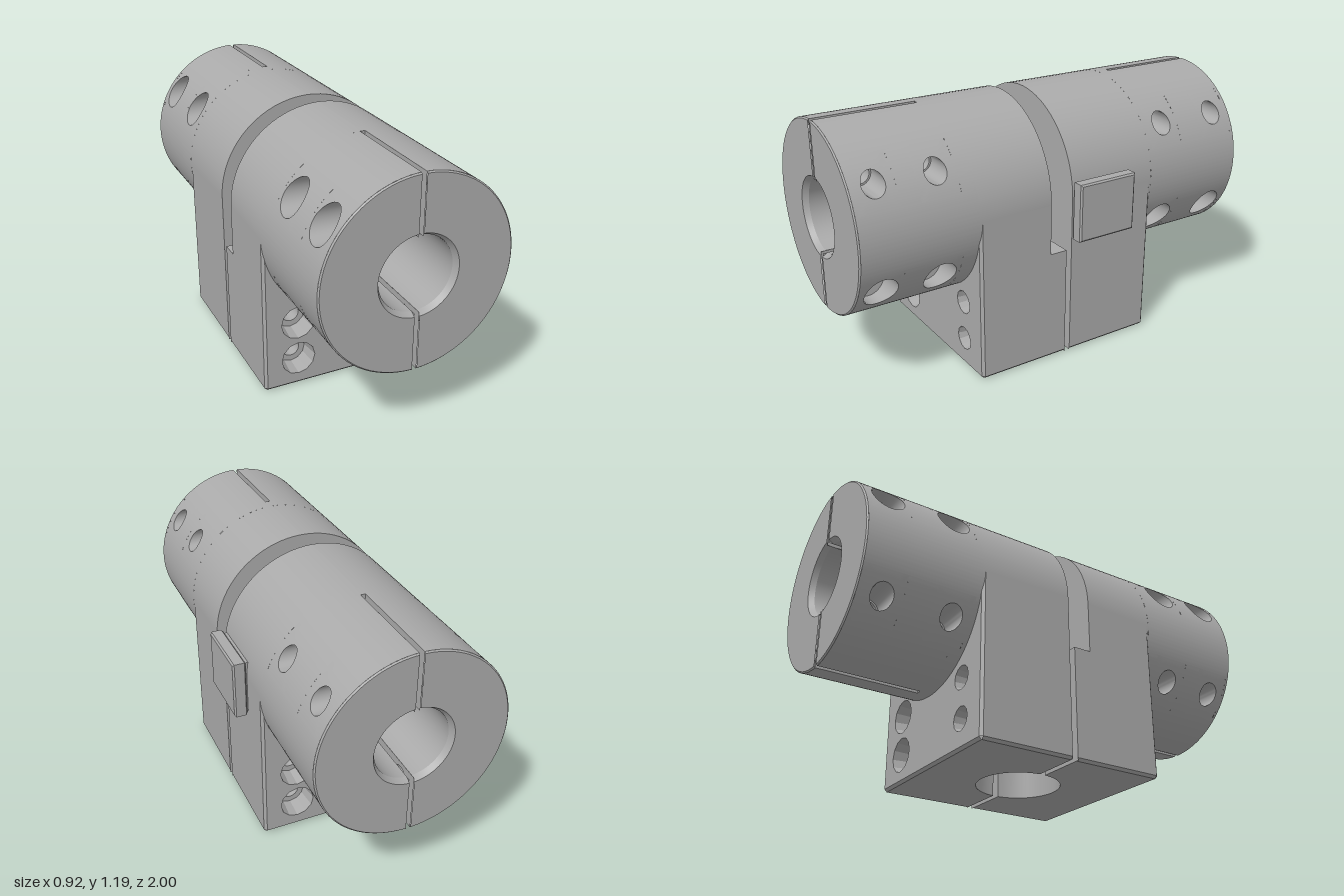
import * as THREE from 'three';
import { mergeGeometries, toCreasedNormals } from 'three/addons/utils/BufferGeometryUtils.js';

const R = 0.428, CY = 0.762, CX = -0.035; // barrel radius and axis
const BORE = 0.165, GAP = 0.011, SLIT = 0.52, HOLES = 0.46; // bore, slit half width, slit start, drilled zone start
const BLOCK = 0.46, C = 0.012, POST = 0.19, POST_TOP = 0.33; // block depth, chamfer, upright bore
const PI = Math.PI;

const metal = new THREE.MeshStandardMaterial({ color: 0xaaaaaa, side: THREE.DoubleSide });
metal.name = 'machined grey';

// A grid whose vertices are placed by fn(u, v) -> [x, y, z]
function surf(fn, nu = 1, nv = 1) {
  const g = new THREE.PlaneGeometry(1, 1, nu, nv), p = g.attributes.position;
  for (let i = 0; i < p.count; i++) p.setXYZ(i, ...fn(p.getX(i) + 0.5, p.getY(i) + 0.5));
  return g;
}
const lerp = (a, b, t) => a + (b - a) * t;
const quad = (a, b, c, d) => surf((u, v) => a.map((_, i) => lerp(lerp(a[i], b[i], u), lerp(d[i], c[i], u), v)));

function part(name, geos) {
  const clean = geos.map((g) => {
    const n = g.index ? g.toNonIndexed() : g;
    n.deleteAttribute('uv');
    return n;
  });
  const mesh = new THREE.Mesh(toCreasedNormals(mergeGeometries(clean), 0.5), metal);
  mesh.name = name;
  return mesh;
}

// Flat face with round holes given as [x, y, radius, sides]
function face(shape, holes = []) {
  for (const [x, y, r, n] of holes) {
    const pts = [];
    for (let i = 0; i < n; i++) pts.push(new THREE.Vector2(x + r * Math.cos(2 * PI * i / n), y + r * Math.sin(2 * PI * i / n)));
    shape.holes.push(new THREE.Path(pts));
  }
  return new THREE.ShapeGeometry(shape, 24);
}
const poly = (pts) => new THREE.Shape(pts.map(([x, y]) => new THREE.Vector2(x, y)));

// Revolved band between two [radius, z] points, optionally split by the slit
function band([r0, z0], [r1, z1], slit = false, from = 0, to = PI) {
  return [-1, 1].map((s) => surf((u, v) => {
    const r = lerp(r0, r1, v), a = slit ? Math.asin(GAP / r) : 0;
    const t = lerp(Math.max(from, a), Math.min(to, PI - a), u);
    return [s * r * Math.sin(t), CY + r * Math.cos(t), lerp(z0, z1, v)];
  }, 40));
}

// Cross-drilled rows: height from axis and half height of the drilled patch
const ROWS = [{ dy: 0.24, up: 1 }, { dy: -0.23, up: -1 }];
const HY = 0.1, HZ = 0.09, SEAT = 0.22, THRU = 0.042;
const bulge = (dy) => Math.sqrt(R * R - dy * dy);

function barrel(start, zs, bigUpperSide, closed) {
  const skin = [], drills = [], slits = [];
  const t = [0.34, 0.14, -0.13, -0.33].map((dy) => Math.acos(dy / R));
  const E = 0.994;
  skin.push(
    ...band([R, start], [R, HOLES]),
    ...band([R, HOLES], [R, SLIT], false, 0, t[0]), ...band([R, HOLES], [R, SLIT], false, t[3], PI),
    ...band([R, SLIT], [R, E], true, 0, t[0]), ...band([R, SLIT], [R, E], true, t[3], PI),
    ...band([R, HOLES], [R, E], false, t[1], t[2]),
    ...band([R, E], [R - 0.006, 1], true), ...band([R - 0.006, 1], [0.18, 1], true),
    ...band([closed ? 0.001 : BORE, start], [R, start]));
  for (const { dy, up } of ROWS) {
    const [a, b] = up > 0 ? [t[0], t[1]] : [t[2], t[3]];
    const stops = [HOLES, zs[0] - HZ, zs[0] + HZ, zs[1] - HZ, zs[1] + HZ, E];
    for (let i = 0; i < 6; i += 2) skin.push(...band([R, stops[i]], [R, stops[i + 1]], false, a, b));
    for (const s of [-1, 1]) for (const z of zs) {
      const r = s * up === bigUpperSide ? 0.075 : 0.05;
      const ring = (u, k) => [CY + dy + k * Math.cos(2 * PI * u), z + k * Math.sin(2 * PI * u)];
      // curved patch around the hole
      skin.push(surf((u, v) => {
        const c = Math.cos(2 * PI * u), n = Math.sin(2 * PI * u), k = 1 / Math.max(Math.abs(c), Math.abs(n));
        const y = lerp(r * c, k * c * HY, v) + dy;
        return [s * bulge(y), CY + y, z + lerp(r * n, k * n * HZ, v)];
      }, 32, 4));
      // counterbore, seat and through hole
      drills.push(
        surf((u, v) => { const [y, w] = ring(u, r); return [s * lerp(SEAT, bulge(y - CY), v), y, w]; }, 32),
        surf((u, v) => [s * SEAT, ...ring(u, lerp(THRU, r, v))], 32),
        surf((u, v) => [s * lerp(GAP, SEAT, v), ...ring(u, THRU)], 32));
    }
    // slit walls and slit floor
    const y0 = CY + up * BORE, y1 = CY + up * R;
    for (const s of [-1, 1]) {
      const wall = face(poly([[SLIT, y0], [0.996, y0], [0.996, y1], [SLIT, y1]]), zs.map((z) => [z, CY + dy, THRU, 32]));
      slits.push(wall.rotateY(-PI / 2).translate(s * GAP, 0, 0));
    }
    slits.push(quad([-GAP, y0, SLIT], [GAP, y0, SLIT], [GAP, y1, SLIT], [-GAP, y1, SLIT]));
  }
  const depth = closed ? 0.2 : start;
  const bore = [...band([BORE, depth], [BORE, SLIT]), ...band([BORE, SLIT], [BORE, 0.975], true), ...band([BORE, 0.975], [0.18, 1], true)];
  if (closed) bore.push(...band([0.001, depth], [BORE, depth]));
  return [part('clampBarrel', skin), part('screwHoles', drills), part('clampSlits', slits), part('shaftBore', bore)];
}

// Outline that follows the underside of the barrel
function saddle(w, y) {
  const s = new THREE.Shape();
  s.moveTo(-w, y); s.lineTo(w, y); s.lineTo(w, CY);
  s.absarc(0, CY, 0.415, 0, -PI, true);
  s.lineTo(-w, CY);
  return s;
}

function block(zi, ledge) {
  const g = [], W = R, top = CY, step = 0.525, zu = 0.1;
  const drill = [];
  for (const x of [-0.265, 0.265]) for (const y of [0.135, 0.32]) drill.push({ x, y, r: x < 0 ? 0.08 : 0.055 });
  // outer face with counterbored bolt holes
  g.push(face(saddle(W - C, C), drill.map((d) => [d.x, d.y, d.r, 12])).translate(0, 0, BLOCK));
  // mating face with the notch of the upright bore
  const n = Math.sqrt(POST * POST - zi * zi);
  const inner = new THREE.Shape();
  inner.moveTo(-W, 0); inner.lineTo(-n, 0); inner.lineTo(-n, POST_TOP); inner.lineTo(n, POST_TOP);
  inner.lineTo(n, 0); inner.lineTo(W, 0);
  if (ledge) { inner.lineTo(W, step); inner.lineTo(-W, step); }
  else { inner.lineTo(W, top); inner.absarc(0, CY, 0.415, 0, -PI, true); inner.lineTo(-W, top); }
  g.push(face(inner, drill.map((d) => [d.x, d.y, 0.04, 24])).translate(0, 0, zi));
  // side walls and corner chamfers
  const zf = BLOCK - C;
  for (const s of [-1, 1]) {
    const w = s * W, wc = s * (W - C);
    g.push(quad([w, C, zi], [w, C, zf], [w, step, zf], [w, step, zi]));
    const z = ledge ? zu : zi;
    g.push(quad([w, step, z], [w, step, zf], [w, top, zf], [w, top, z]));
    g.push(quad([w, C, zf], [wc, C, BLOCK], [wc, top, BLOCK], [w, top, zf]));
    g.push(quad([w, C, zi], [w, C, zf], [wc, 0, zf], [wc, 0, zi]));
    if (ledge) { // shoulder beside the barrel above the ledge
      const sh = new THREE.Shape();
      const a = Math.asin((step - CY) / 0.415);
      sh.moveTo(W, step); sh.lineTo(W, top); sh.absarc(0, CY, 0.415, 0, a, true);
      const f = face(sh).translate(0, 0, zu);
      g.push(s > 0 ? f : f.rotateY(PI).translate(0, 0, 2 * zu));
    }
  }
  if (ledge) g.push(quad([-W, step, zi], [W, step, zi], [W, step, zu], [-W, step, zu]));
  // bottom and its front chamfer
  g.push(quad([C - W, C, BLOCK], [W - C, C, BLOCK], [W - C, 0, zf], [C - W, 0, zf]));
  const base = new THREE.Shape(), a = Math.asin(zi / POST);
  base.moveTo(W - C, zi); base.lineTo(W - C, zf); base.lineTo(C - W, zf); base.lineTo(C - W, zi);
  base.absarc(0, 0, POST, PI - a, a, true);
  g.push(face(base).rotateX(PI / 2));

  const at = (u, v, lo, hi) => { const t = lerp(a, PI - a, u), r = lerp(lo, hi, v); return [r * Math.cos(t), r * Math.sin(t)]; };
  const post = [
    surf((u, v) => { const [x, z] = at(u, 0, POST, POST); return [x, v * POST_TOP, z]; }, 32),
    surf((u, v) => { const [x, z] = at(u, v, zi, POST); return [x, POST_TOP, z]; }, 32)];

  const seat = BLOCK - 0.09, bolts = [];
  for (const { x, y, r } of drill) {
    const tube = (r0, z0, r1, z1, sides) => surf((u, v) => {
      const k = lerp(r0, r1, v);
      return [x + k * Math.cos(2 * PI * u), y + k * Math.sin(2 * PI * u), lerp(z0, z1, v)];
    }, sides);
    bolts.push(tube(r, BLOCK, r - 0.012, seat, 12), tube(r - 0.012, seat, 0.04, seat, 24), tube(0.04, seat, 0.04, zi, 24));
  }
  return [part('clampBlock', g), part('uprightBore', post), part('boltHoles', bolts)];
}

// Toothed disc closing the rear bore
function gear() {
  const pts = [], teeth = 25;
  for (let i = 0; i < teeth; i++) for (const [f, r] of [[0, 0.133], [0.3, 0.133], [0.45, 0.16], [0.85, 0.16]]) {
    const t = (i + f) / teeth * 2 * PI;
    pts.push([r * Math.cos(t), r * Math.sin(t)]);
  }
  const g = new THREE.ExtrudeGeometry(poly(pts), { depth: 0.015, bevelEnabled: false });
  return part('splineDisc', [g.translate(0, CY, -0.015)]);
}

export function createModel() {
  const model = new THREE.Group();
  const front = new THREE.Group(), back = new THREE.Group();
  front.name = 'frontClamp';
  back.name = 'backClamp';
  front.add(...barrel(0.1, [0.62, 0.89], -1, false), ...block(0.015, true));
  back.add(...barrel(0.012, [0.57, 0.885], 1, true), ...block(0.012, false));
  back.rotation.y = PI;
  front.position.x = back.position.x = CX;

  const disc = gear();
  disc.position.x = CX;

  // side stop plate with bevelled edges and its short neck
  const plate = new THREE.ExtrudeGeometry(poly([[-0.142, -0.128], [0.142, -0.128], [0.142, 0.128], [-0.142, 0.128]]),
    { depth: 0.046, bevelSize: 0.008, bevelThickness: 0.007, bevelSegments: 1 });
  plate.rotateY(PI / 2).translate(0.407, 0.715, -0.16);
  const neck = new THREE.BoxGeometry(0.03, 0.25, 0.27).translate(0.39, 0.715, -0.16);
  model.add(front, back, disc, part('stopPlate', [plate, neck]));
  return model;
}
